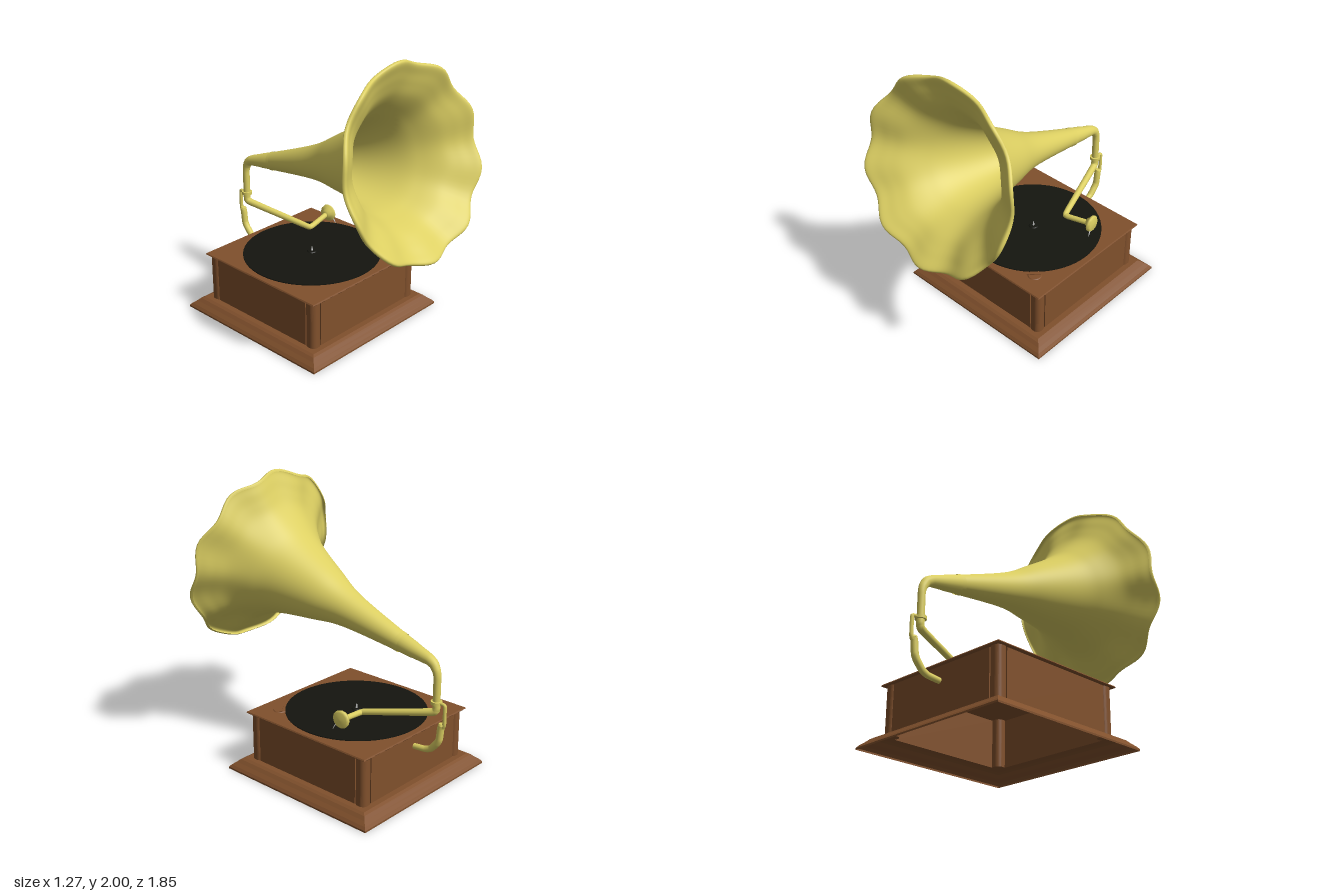
import * as THREE from 'three';
import { mergeVertices } from 'three/addons/utils/BufferGeometryUtils.js';

const mat = (color, extra = {}) => new THREE.MeshStandardMaterial({ color, side: THREE.DoubleSide, ...extra });
const BRASS = mat(0xdccf62);
const WOOD = mat(0x80502c);
const WOOD_FLAT = mat(0x80502c, { flatShading: true });
const BLACK = mat(0x14150f);
const GREY = mat(0xcccccc);
const V = (x, y, z) => new THREE.Vector3(x, y, z);
const V2 = (x, y) => new THREE.Vector2(x, y);
const CZ = -0.17; // cabinet centre in z

function add(parent, name, geometry, material, x = 0, y = 0, z = 0) {
  const mesh = new THREE.Mesh(geometry, material);
  mesh.name = name;
  mesh.position.set(x, y, z);
  parent.add(mesh);
  return mesh;
}

// Tube along rows of [x, y, z, radius]; the radius eases along the path
function taperedTube(rows, steps = 48, sides = 14) {
  const curve = new THREE.CatmullRomCurve3(rows.map(p => V(p[0], p[1], p[2])), false, 'catmullrom', 0.25);
  const geo = new THREE.TubeGeometry(curve, steps, 1, sides);
  const pos = geo.attributes.position;
  const v = V(0, 0, 0);
  for (let i = 0; i <= steps; i++) {
    const u = i / steps;
    const centre = curve.getPointAt(u);
    const t = curve.getUtoTmapping(u) * (rows.length - 1);
    const k = Math.min(Math.floor(t), rows.length - 2);
    const r = THREE.MathUtils.lerp(rows[k][3], rows[k + 1][3], t - k);
    for (let j = 0; j <= sides; j++) {
      const n = i * (sides + 1) + j;
      v.fromBufferAttribute(pos, n).sub(centre).multiplyScalar(r).add(centre);
      pos.setXYZ(n, v.x, v.y, v.z);
    }
  }
  return geo;
}

// Square moulding: profile of [half width, y] swept round four sides
function squareMoulding(profile) {
  const geo = new THREE.LatheGeometry(profile.map(([h, y]) => V2(h * Math.SQRT2, y)), 4);
  return geo.rotateY(Math.PI / 4);
}

function roundedSquare(size, r) {
  const h = size / 2, s = new THREE.Shape();
  s.absarc(h - r, h - r, r, 0, Math.PI / 2);
  s.absarc(r - h, h - r, r, Math.PI / 2, Math.PI);
  s.absarc(r - h, r - h, r, Math.PI, Math.PI * 1.5);
  s.absarc(h - r, r - h, r, Math.PI * 1.5, Math.PI * 2);
  return s;
}

function buildCabinet() {
  const g = new THREE.Group();
  g.name = 'cabinet';
  g.position.z = CZ;
  // hollow plinth, open underneath
  add(g, 'plinth', squareMoulding([[0.63, 0], [0.63, 0.012], [0.615, 0.03], [0.59, 0.05], [0.57, 0.07], [0.55, 0.08], [0.495, 0.08]]), WOOD_FLAT);
  // side panels between rounded corner posts
  for (let i = 0; i < 4; i++) {
    const side = new THREE.Group();
    side.name = 'cabinetSide';
    side.rotation.y = i * Math.PI / 2;
    add(side, 'panel', new THREE.BoxGeometry(0.87, 0.34, 0.012), WOOD, 0, 0.25, 0.502);
    const post = new THREE.ExtrudeGeometry(roundedSquare(0.085, 0.035), { depth: 0.34, bevelEnabled: false, curveSegments: 8 });
    post.rotateX(-Math.PI / 2);
    add(side, 'cornerPost', post, WOOD, 0.4725, 0.08, 0.4725);
    g.add(side);
  }
  add(g, 'topBoard', squareMoulding([[0, 0.42], [0.53, 0.42], [0.535, 0.425], [0.53, 0.433], [0, 0.433]]), WOOD_FLAT);
  // turntable
  add(g, 'record', new THREE.CylinderGeometry(0.49, 0.49, 0.006, 64), BLACK, 0, 0.436, 0);
  add(g, 'recordCap', new THREE.CylinderGeometry(0.03, 0.035, 0.006, 20), BLACK, 0, 0.442, 0);
  add(g, 'spindle', new THREE.CylinderGeometry(0.004, 0.007, 0.03, 10), GREY, 0, 0.458, 0);
  // speed lever on the front left of the board
  add(g, 'leverPlate', new THREE.CylinderGeometry(0.045, 0.05, 0.005, 20), WOOD, 0.36, 0.4355, 0.38);
  add(g, 'lever', new THREE.BoxGeometry(0.1, 0.006, 0.018), WOOD, 0.35, 0.441, 0.38).rotation.y = 0.7;
  return g;
}

function buildHorn() {
  // bell profile: radius against distance along the axis
  const key = [[0.064, 0], [0.122, 0.45], [0.195, 0.7], [0.283, 0.965], [0.355, 1.1], [0.432, 1.205],
    [0.512, 1.275], [0.575, 1.32], [0.62, 1.352], [0.642, 1.357], [0.652, 1.342], [0.64, 1.33]];
  const profile = new THREE.SplineCurve(key.map(([r, s]) => V2(r, s))).getPoints(60);
  let geo = new THREE.LatheGeometry(profile, 100);
  const pos = geo.attributes.position;
  // ten soft petals that grow towards the rim
  for (let i = 0; i < pos.count; i++) {
    const x = pos.getX(i), z = pos.getZ(i);
    const w = THREE.MathUtils.smoothstep(Math.hypot(x, z), 0.25, 0.65);
    const dip = w * (Math.cos(10 * Math.atan2(x, z)) - 1) / 2;
    const k = 1 + 0.03 * dip;
    pos.setXYZ(i, x * k, pos.getY(i) + 0.04 * dip, z * k);
  }
  geo.deleteAttribute('uv');
  geo.deleteAttribute('normal');
  geo = mergeVertices(geo);
  geo.computeVertexNormals();
  geo.rotateX(1.313);
  const g = new THREE.Group();
  g.name = 'horn';
  add(g, 'bell', geo, BRASS, 0, 1.025, -0.55);
  const collar = new THREE.CylinderGeometry(0.069, 0.067, 0.03, 24, 1, true).rotateX(1.313);
  add(g, 'hornCollar', collar, BRASS, 0, 1.026, -0.546);
  // tapered neck bending down into the upright
  add(g, 'neck', taperedTube([[0, 1.027, -0.545, 0.066], [0, 0.995, -0.67, 0.051], [0, 0.968, -0.775, 0.037],
    [0, 0.945, -0.815, 0.033], [0, 0.905, -0.838, 0.028], [0, 0.86, -0.846, 0.025], [0, 0.68, -0.846, 0.025]], 64, 20), BRASS);
  return g;
}

function buildToneArm() {
  const g = new THREE.Group();
  g.name = 'toneArm';
  add(g, 'swivelRing', new THREE.CylinderGeometry(0.038, 0.038, 0.022, 20), BRASS, 0, 0.69, -0.846);
  add(g, 'armTube', taperedTube([[0, 0.69, -0.846, 0.026], [0, 0.645, -0.845, 0.026], [0.01, 0.617, -0.815, 0.026],
    [0.14, 0.525, -0.37, 0.021], [0.155, 0.518, -0.345, 0.02], [0.185, 0.52, -0.343, 0.02], [0.36, 0.545, -0.367, 0.019]], 72), BRASS);
  // round sound box with a needle
  const box = new THREE.LatheGeometry([V2(0, -0.035), V2(0.03, -0.033), V2(0.04, -0.012), V2(0.06, -0.008),
    V2(0.063, 0.008), V2(0.05, 0.02), V2(0, 0.022)], 12).rotateZ(-Math.PI / 2);
  add(g, 'soundBox', box, BRASS, 0.372, 0.55, -0.367).rotation.y = 0.12;
  add(g, 'needle', taperedTube([[0.385, 0.52, -0.345, 0.005], [0.392, 0.5, -0.325, 0.004], [0.396, 0.475, -0.313, 0.002]], 8, 8), GREY);
  return g;
}

function buildBracket() {
  const g = new THREE.Group();
  g.name = 'bracket';
  // thin upper hook and thick lower arm into the cabinet back
  add(g, 'hook', taperedTube([[0, 0.69, -0.86, 0.012], [0, 0.69, -0.9, 0.012], [0, 0.68, -0.913, 0.013],
    [0, 0.56, -0.913, 0.013], [0, 0.53, -0.9, 0.018]], 32, 10), BRASS);
  add(g, 'supportArm', taperedTube([[0, 0.55, -0.893, 0.022], [0, 0.52, -0.887, 0.024], [0, 0.44, -0.878, 0.024],
    [0, 0.405, -0.86, 0.024], [0, 0.355, -0.815, 0.023], [0, 0.335, -0.77, 0.021], [0, 0.325, -0.67, 0.02]], 48), BRASS);
  add(g, 'supportCap', new THREE.CylinderGeometry(0.018, 0.024, 0.012, 14), BRASS, 0, 0.551, -0.893);
  return g;
}

export function createModel() {
  const model = new THREE.Group();
  model.name = 'gramophone';
  model.add(buildCabinet(), buildHorn(), buildToneArm(), buildBracket());
  return model;
}
